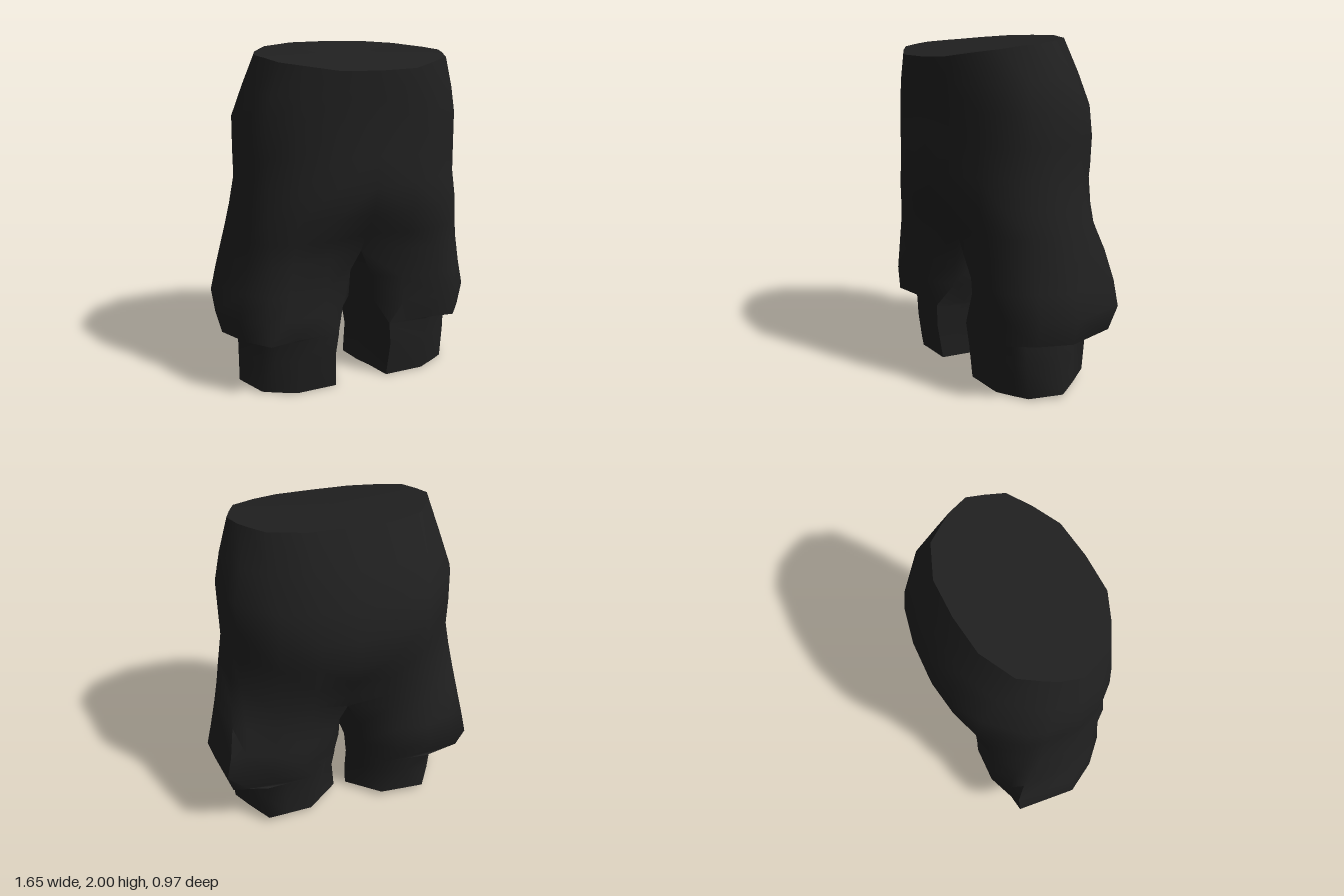
import * as THREE from 'three';
import { toCreasedNormals } from 'three/addons/utils/BufferGeometryUtils.js';

// Outlines of one half, from front centre round the outer side to the back,
// then along the inner thigh: [fraction across, fraction of depth].
const WAIST = [[0, 1], [0.39, 0.97], [0.65, 0.81], [0.88, 0.63], [0.95, 0.4], [1, 0.21], [0.93, -0.05],
  [0.85, -0.3], [0.73, -0.64], [0.39, -0.95], [0, -1], [0, -0.35], [0, 0.35]];
const TORSO = [[0, 1], [0.36, 0.98], [0.64, 0.84], [0.86, 0.63], [0.95, 0.42], [1, 0.14], [0.96, -0.28],
  [0.91, -0.46], [0.63, -0.84], [0.31, -0.96], [0, -1], [0, -0.35], [0, 0.35]];
const POCKET = [[0.1, 0.65], [0.3, 0.95], [0.6, 1], [0.74, 1], [0.89, 0.6], [1, 0.05], [0.92, -0.85],
  [0.8, -0.87], [0.6, -1], [0.34, -0.95], [0.1, -0.65], [0, -0.35], [0, 0.35]];
const POCKET_HEM = [[0.104, 0.41], [0.173, 0.91], [0.503, 0.93], [0.74, 1], [0.89, 0.6], [1, 0.05], [0.92, -0.85],
  [0.8, -0.9], [0.48, -0.93], [0.27, -0.9], [0.12, -0.58], [0, -0.33], [0.05, 0.14]];
const LEG = [[0.12, 0.45], [0.2, 1], [0.58, 1], [0.76, 0.8], [0.87, 0.66], [1, 0], [0.89, -0.45],
  [0.74, -1], [0.55, -0.98], [0.31, -0.95], [0.14, -0.62], [0, -0.35], [0.06, 0.15]];

// One cross-section; xi/xo are inner and outer x, zf/zb front and back z
function ring(a, b, mix, y, xi, xo, zf, zb, tilt = 0, innerDrop = 0) {
  return a.map(([ax, az], j) => {
    const seam = xi === 0 && (j === 0 || j >= 10);
    const fx = THREE.MathUtils.lerp(ax, b[j][0], mix);
    const fz = THREE.MathUtils.lerp(az, b[j][1], mix);
    const z = fz > 0 ? fz * zf : -fz * zb;
    return new THREE.Vector3(seam ? 0 : xi + (xo - xi) * fx, y + tilt * z - (j > 10 ? innerDrop : 0), z);
  });
}

const RINGS = [
  ring(WAIST, WAIST, 0, 1.97, 0, 0.57, 0.482, -0.29, -0.085),
  ring(WAIST, TORSO, 0.5, 1.78, 0, 0.63, 0.475, -0.385, -0.06),
  ring(TORSO, TORSO, 0, 1.61, 0, 0.67, 0.465, -0.455),
  ring(TORSO, TORSO, 0, 1.43, 0, 0.67, 0.468, -0.485),
  ring(TORSO, TORSO, 0, 1.26, 0, 0.67, 0.472, -0.475),
  ring(TORSO, POCKET, 0.2, 1.09, 0, 0.7, 0.455, -0.42),
  ring(TORSO, POCKET, 0.5, 0.95, 0, 0.725, 0.395, -0.395),
  ring(TORSO, POCKET, 0.8, 0.83, 0, 0.75, 0.355, -0.375, 0, 0.12),
  ring(POCKET, POCKET, 0, 0.65, 0.008, 0.79, 0.34, -0.382),
  ring(POCKET, POCKET, 0, 0.5, 0.018, 0.825, 0.34, -0.392),
  ring(POCKET_HEM, POCKET_HEM, 0, 0.36, 0.037, 0.79, 0.34, -0.345),
  ring(LEG, LEG, 0, 0.345, 0.037, 0.69, 0.31, -0.325),
  ring(LEG, LEG, 0, 0.22, 0.055, 0.69, 0.3, -0.298),
  ring(LEG, LEG, 0, 0.02, 0.04, 0.69, 0.27, -0.285, -0.07),
];
// The waistline dips towards the front
for (const p of RINGS[0]) p.y -= 0.36 * p.z ** 3;

// Collects triangles, adding the mirrored side when asked
function surface(triangles, sides = [1, -1]) {
  const pos = [];
  for (const s of sides) {
    for (const t of triangles) {
      if (t.every((p) => p.x === 0)) continue;
      for (const p of s > 0 ? t : [t[0], t[2], t[1]]) pos.push(s * p.x, p.y, p.z);
    }
  }
  const g = new THREE.BufferGeometry();
  g.setAttribute('position', new THREE.Float32BufferAttribute(pos, 3));
  return toCreasedNormals(g, 1.15);
}

export function createModel() {
  const model = new THREE.Group();
  const cloth = new THREE.MeshStandardMaterial({ color: 0x202020 });
  cloth.name = 'black cloth';
  const add = (name, geometry) => {
    const mesh = new THREE.Mesh(geometry, cloth);
    mesh.name = name;
    model.add(mesh);
  };

  // Seat, legs and flared side pockets in one skin
  const skin = [];
  for (let i = 0; i < RINGS.length - 1; i++) {
    const up = RINGS[i], low = RINGS[i + 1];
    up.forEach((a, j) => {
      const k = (j + 1) % up.length;
      skin.push([a, low[j], low[k]], [a, low[k], up[k]]);
    });
  }
  add('shorts', surface(skin));

  // Closed waist
  const top = RINGS[0].slice(0, 11);
  const middle = new THREE.Vector3(0, 1.957, 0.1);
  add('waistOpening', surface(top.slice(1).map((p, j) => [middle, top[j], p])));

  // Closed leg hems
  const hem = RINGS[RINGS.length - 1];
  const hemMiddle = new THREE.Vector3(0.37, 0.02, 0);
  const hemFaces = hem.map((p, j) => [hemMiddle, hem[(j + 1) % hem.length], p]);
  add('leftHem', surface(hemFaces, [1]));
  add('rightHem', surface(hemFaces, [-1]));

  return model;
}
